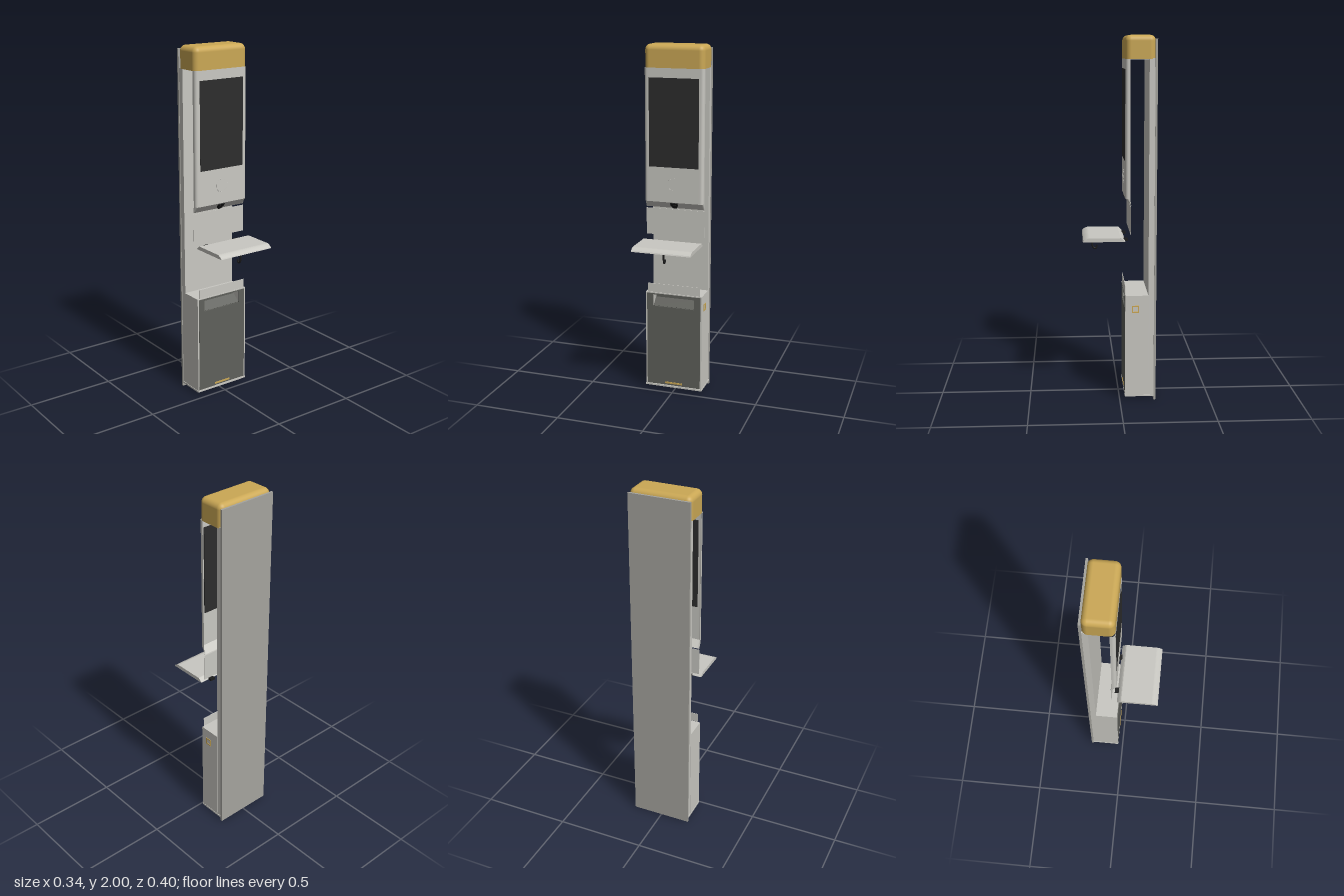
import * as THREE from 'three';
import { RoundedBoxGeometry } from 'three/addons/geometries/RoundedBoxGeometry.js';

const mat = (name, color, side = THREE.FrontSide) => {
  const m = new THREE.MeshStandardMaterial({ color, side });
  m.name = name;
  return m;
};

export function createModel() {
  const root = new THREE.Group();
  root.name = 'kiosk';
  const light = mat('light grey', 0xc9c8c2, THREE.DoubleSide);
  const back = mat('mid grey', 0xa5a49e);
  const dark = mat('dark grey', 0x5f605b, THREE.DoubleSide);
  const screenMat = mat('screen black', 0x2d2d2d);
  const black = mat('black', 0x1c1c1c);
  const gold = mat('gold', 0xcba855);

  const add = (name, geo, material, parent = root) => {
    const m = new THREE.Mesh(geo, material);
    m.name = name;
    parent.add(m);
    return m;
  };
  // box given by its minimum and maximum corners
  const box = (name, a, b, material) => {
    const m = add(name, new THREE.BoxGeometry(b[0] - a[0], b[1] - a[1], b[2] - a[2]), material);
    m.position.set((a[0] + b[0]) / 2, (a[1] + b[1]) / 2, (a[2] + b[2]) / 2);
    return m;
  };
  // rectangular shape with an optional rectangular hole
  const frameShape = (x0, y0, x1, y1, hole) => {
    const rect = (p, a, b, c, d) => p.moveTo(a, b).lineTo(c, b).lineTo(c, d).lineTo(a, d).closePath();
    const s = rect(new THREE.Shape(), x0, y0, x1, y1);
    if (hole) s.holes.push(rect(new THREE.Path(), ...hole));
    return s;
  };

  // back plate and shallow column
  box('backPlate', [-0.17, 0, -0.2], [0.17, 1.98, -0.188], back);
  box('column', [-0.166, 0.02, -0.188], [0.166, 1.88, -0.157], light);

  // cap: rounded vertical corners, rounded top edge, flat bottom
  const capGeo = new RoundedBoxGeometry(0.34, 0.25, 0.16, 6, 0.03);
  const p = capGeo.attributes.position;
  const n = capGeo.attributes.normal;
  for (let i = 0; i < p.count; i++) {
    if (p.getY(i) < 0) {
      p.setY(i, 0);
      const v = new THREE.Vector3(n.getX(i), 0, n.getZ(i));
      if (v.length() > 0.01) {
        v.normalize();
        n.setXYZ(i, v.x, v.y, v.z);
      }
    }
  }
  add('cap', capGeo, gold).position.set(0, 1.875, -0.11);
  box('capUnderside', [-0.15, 1.872, -0.18], [0.15, 1.876, -0.04], light);

  // front shell: a bent sheet with curled sides and a window for the screen
  const section = [[-0.17, -0.056]];
  for (let i = 0; i <= 6; i++) {
    const a = (i / 6) * Math.PI / 2;
    section.push([-0.153 - 0.017 * Math.cos(a), -0.047 + 0.017 * Math.sin(a)]);
  }
  section.push([-0.143, -0.03]);
  section.push(...section.slice().reverse().map(([x, z]) => [-x, z]));
  const sheet = (rows, skip) => {
    const pos = [], idx = [], w = section.length;
    rows.forEach(({ y, flat }) => section.forEach(([x, z]) => pos.push(x, y, flat ?? z)));
    for (let r = 0; r < rows.length - 1; r++) {
      for (let c = 0; c < w - 1; c++) {
        if (r === skip && c === w / 2 - 1) continue;
        const a = r * w + c, b = a + w;
        idx.push(a, b, a + 1, b, b + 1, a + 1);
      }
    }
    const g = new THREE.BufferGeometry();
    g.setAttribute('position', new THREE.Float32BufferAttribute(pos, 3));
    g.setIndex(idx);
    g.computeVertexNormals();
    return g;
  };
  add('frontShell', sheet([{ y: 1.876 }, { y: 1.823 }, { y: 1.333 }, { y: 1.135 }], 1), light);
  add('shellLip', sheet([{ y: 1.135 }, { y: 1.098, flat: -0.062 }]), light);
  box('screen', [-0.143, 1.333, -0.036], [0.143, 1.823, -0.0295], screenMat);

  // ring of short speaker ridges
  for (let i = 0; i < 8; i++) {
    const a = (i / 8) * Math.PI * 2;
    const ridge = add('speakerRidge', new THREE.BoxGeometry(0.016, 0.003, 0.003), light);
    ridge.position.set(0.036 * Math.cos(a), 1.238 + 0.036 * Math.sin(a), -0.029);
    ridge.rotation.z = a + Math.PI / 2;
  }

  // scanner on the sloping lip
  const scanner = new THREE.Group();
  scanner.name = 'scanner';
  scanner.position.set(0, 1.116, -0.046);
  scanner.rotation.x = 0.7;
  add('scannerBody', new THREE.BoxGeometry(0.042, 0.024, 0.01), black, scanner).position.y = 0.01;
  const lens = add('scannerLens', new THREE.CylinderGeometry(0.016, 0.016, 0.012, 20), black, scanner);
  lens.rotation.x = Math.PI / 2;
  lens.position.y = -0.006;
  root.add(scanner);

  // thin middle plate and upright lip above the bin
  box('middlePlate', [-0.17, 0.937, -0.061], [0.17, 1.09, -0.059], light);
  box('binLip', [-0.156, 0.6, -0.033], [0.156, 0.652, -0.03], light);

  // shelf: sloping ends, extruded across the width
  const prof = new THREE.Shape();
  prof.moveTo(0.03, 0.9).lineTo(-0.2, 0.9).lineTo(-0.197, 0.906);
  prof.quadraticCurveTo(-0.18, 0.92, -0.165, 0.921);
  prof.lineTo(0.005, 0.921).quadraticCurveTo(0.012, 0.92, 0.03, 0.9);
  const shelfGeo = new THREE.ExtrudeGeometry(prof, { depth: 0.34, bevelEnabled: false, curveSegments: 6 });
  shelfGeo.rotateY(Math.PI / 2).translate(-0.17, 0, 0);
  add('shelf', shelfGeo, light);

  // hinges behind the shelf
  for (const s of [-1, 1]) {
    const hinge = box('hinge', [-0.015, 0.894, -0.047], [0.015, 0.907, -0.024], black);
    hinge.position.x = s * 0.1;
  }

  // bag hook under the shelf
  const hookPath = new THREE.CatmullRomCurve3(
    [[0.9, 0.145], [0.87, 0.145], [0.845, 0.143], [0.832, 0.133], [0.833, 0.123], [0.85, 0.118]]
      .map(([y, z]) => new THREE.Vector3(0, y, z)));
  add('hook', new THREE.TubeGeometry(hookPath, 24, 0.005, 8), black);
  box('hookMount', [-0.012, 0.896, 0.133], [0.012, 0.9, 0.157], black);

  // bin cabinet
  for (const s of [-1, 1]) {
    const side = box('binSide', [-0.004, 0.03, -0.157], [0.004, 0.597, -0.03], light);
    side.position.x = s * 0.164;
  }
  box('binTop', [-0.168, 0.592, -0.157], [0.168, 0.598, -0.031], light);
  box('basePlate', [-0.17, 0.02, -0.188], [0.17, 0.03, -0.028], light);

  // door with a letterbox slot and inner flap
  const slot = [-0.123, 0.516, 0.123, 0.586];
  const doorGeo = new THREE.ExtrudeGeometry(frameShape(-0.16, 0.033, 0.16, 0.592, slot), { depth: 0.008, bevelEnabled: false });
  add('door', doorGeo, dark).position.z = -0.037;
  box('slotBack', [-0.123, 0.5, -0.09], [0.123, 0.592, -0.087], dark);
  const flap = add('slotFlap', new THREE.BoxGeometry(0.246, 0.06, 0.003), dark);
  flap.position.set(0, 0.535, -0.06);
  flap.rotation.x = -0.87;
  box('doorPull', [-0.053, 0.043, -0.03], [0.053, 0.053, -0.026], gold);

  // square reader on the left side of the cabinet
  const readerGeo = new THREE.ExtrudeGeometry(
    frameShape(-0.02, -0.02, 0.02, 0.02, [-0.014, -0.014, 0.014, 0.014]), { depth: 0.003, bevelEnabled: false });
  const reader = add('readerFrame', readerGeo, gold);
  reader.rotation.y = Math.PI / 2;
  reader.position.set(0.168, 0.522, -0.086);

  return root;
}
